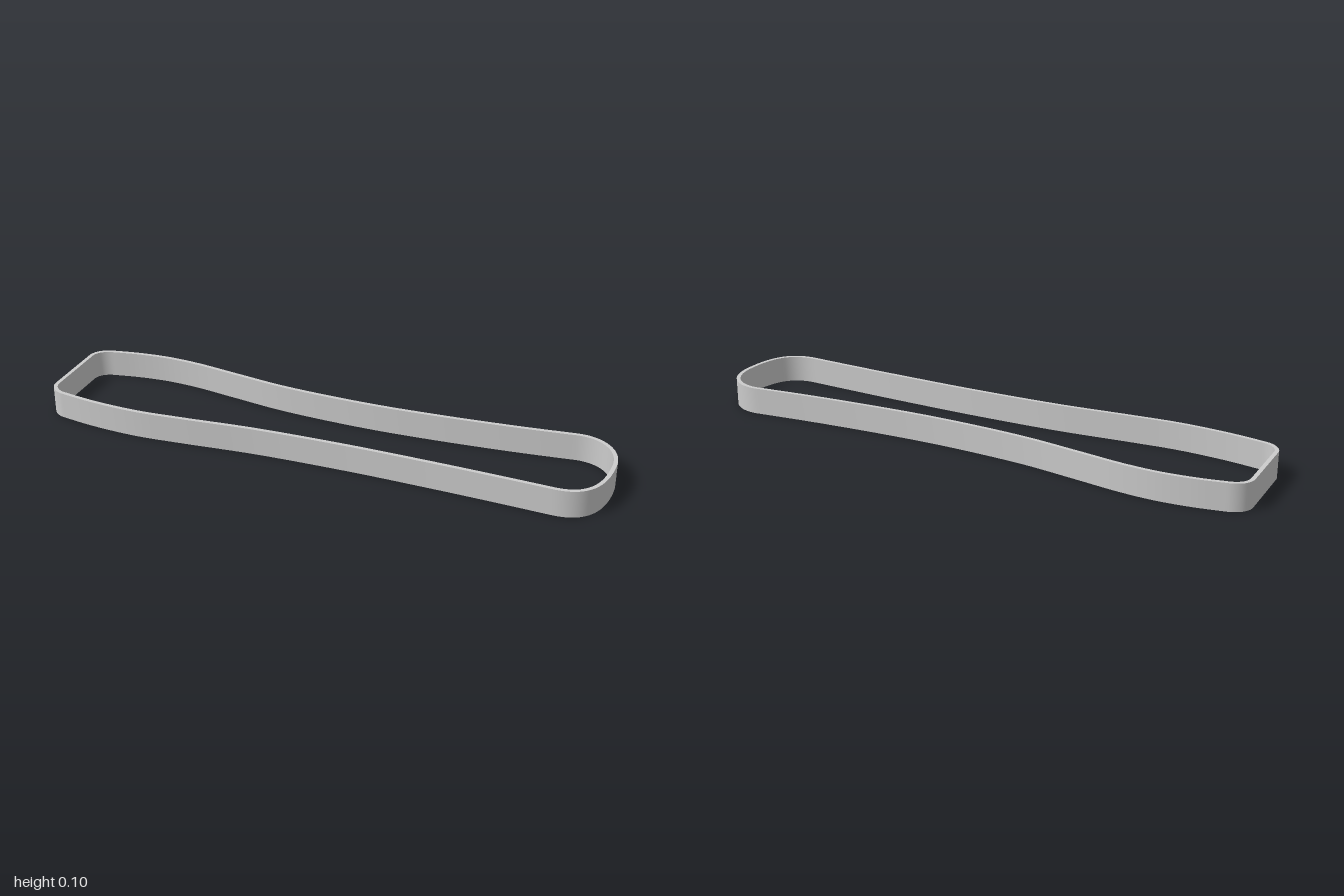
import * as THREE from 'three';
import { toCreasedNormals } from 'three/addons/utils/BufferGeometryUtils.js';

const HEIGHT = 0.096;
const WALL = 0.014;

const v = (x, z) => new THREE.Vector2(x, -z); // plan point, extruded upwards later
const spline = (...p) => new THREE.SplineCurve(p.map(([x, z]) => v(x, z)));
const bezier = (...p) => new THREE.CubicBezierCurve(...p.map(([x, z]) => v(x, z)));

// Outer contour in plan, running once round the band
function outline() {
  const pieces = [
    // wavy back wall
    [spline([-0.93, -0.188], [-0.83, -0.206], [-0.71, -0.215], [-0.58, -0.207], [-0.42, -0.183],
      [-0.2, -0.153], [0.09, -0.141], [0.35, -0.149], [0.62, -0.169], [0.84, -0.193]), 60],
    // rounded right end
    [bezier([0.84, -0.193], [0.93, -0.2], [1, -0.13], [1, -0.03]), 20],
    [bezier([1, -0.03], [1, 0.115], [0.955, 0.192], [0.845, 0.19]), 20],
    // wavy front wall
    [spline([0.845, 0.19], [0.62, 0.181], [0.4, 0.175], [0.14, 0.172], [-0.18, 0.18],
      [-0.45, 0.203], [-0.63, 0.215], [-0.8, 0.207], [-0.94, 0.187]), 60],
    // left end: two small corners and a straight edge
    [bezier([-0.94, 0.187], [-0.975, 0.18], [-1, 0.15], [-1, 0.12]), 10],
    [new THREE.LineCurve(v(-1, 0.12), v(-1, -0.12)), 1],
    [bezier([-1, -0.12], [-1, -0.155], [-0.97, -0.182], [-0.93, -0.188]), 10],
  ];
  return pieces.flatMap(([curve, n]) => curve.getPoints(n).slice(0, -1));
}

// Shift every point inwards along the contour normal
function inset(points, d) {
  const n = points.length;
  return points.map((p, i) => {
    const t = points[(i + 1) % n].clone().sub(points[(i + n - 1) % n]).normalize();
    return new THREE.Vector2(p.x + t.y * d, p.y - t.x * d);
  });
}

export function createModel() {
  const group = new THREE.Group();
  group.name = 'bandFrame';

  // Thin upright wall, open at top and bottom; the hole runs the opposite way round
  const outer = outline();
  const shape = new THREE.Shape(outer);
  shape.holes.push(new THREE.Path(inset(outer, WALL).reverse()));
  const extruded = new THREE.ExtrudeGeometry(shape, { depth: HEIGHT, bevelEnabled: false });
  extruded.rotateX(-Math.PI / 2);

  const band = new THREE.Mesh(
    toCreasedNormals(extruded, 0.5),
    new THREE.MeshStandardMaterial({ color: 0xcccccc })
  );
  band.name = 'band';
  group.add(band);
  return group;
}
